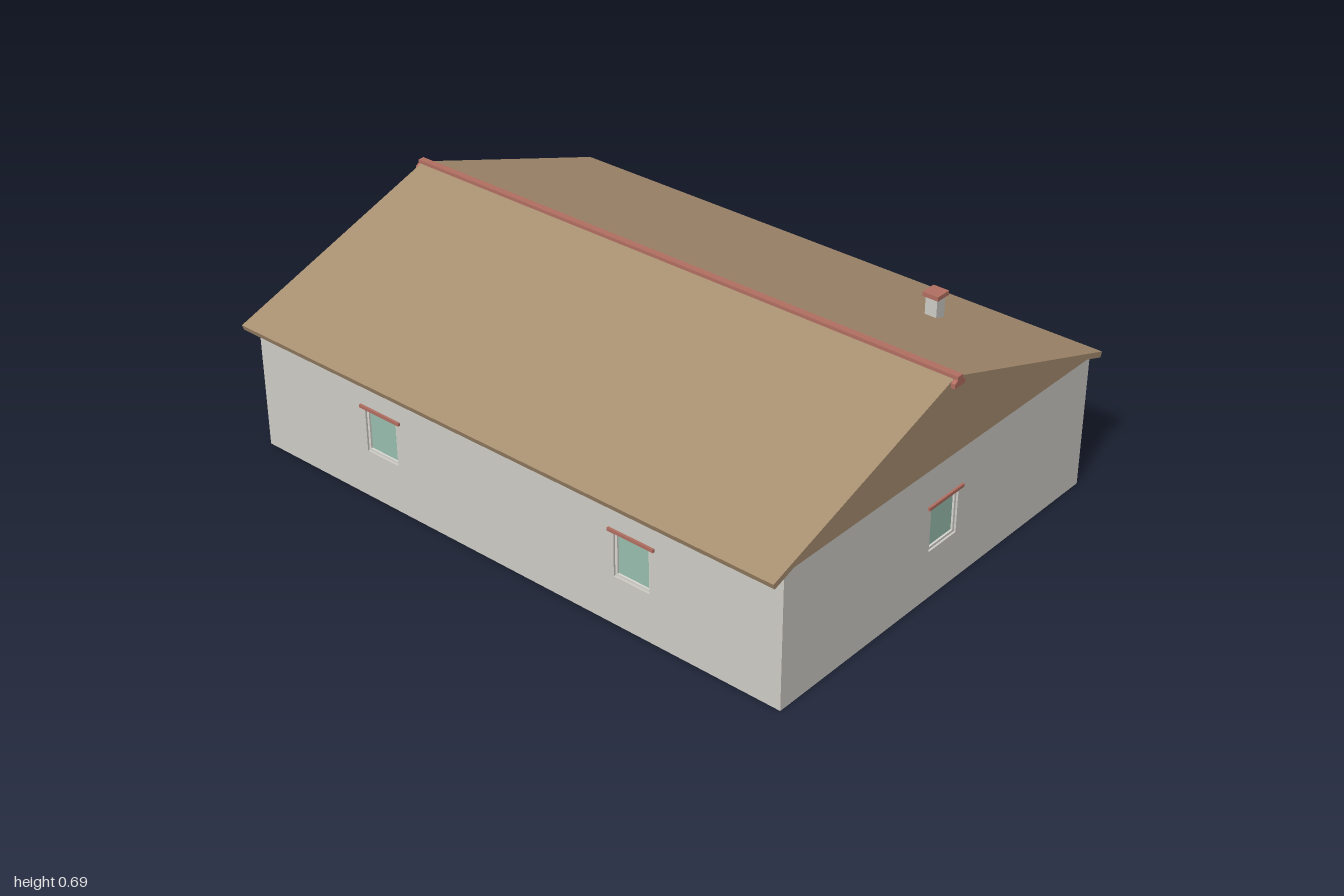
import * as THREE from 'three';

const material = (name, color) => {
  const m = new THREE.MeshStandardMaterial({ color });
  m.name = name;
  return m;
};

export function createModel() {
  const house = new THREE.Group();
  house.name = 'house';
  const plaster = material('grey plaster', 0xd0cdc6);
  const timber = material('tan timber', 0xa88f71);
  const red = material('red clay', 0xb36f62);
  const glass = material('green glass', 0x98bfae);
  const trim = material('light trim', 0xd9d7d1);

  const add = (parent, name, geometry, mat) => {
    const mesh = new THREE.Mesh(geometry, mat);
    mesh.name = name;
    parent.add(mesh);
    return mesh;
  };
  // Box given by its limits on each axis
  const box = (parent, name, mat, [x0, x1], [y0, y1], [z0, z1]) => {
    const g = new THREE.BoxGeometry(x1 - x0, y1 - y0, z1 - z0);
    g.translate((x0 + x1) / 2, (y0 + y1) / 2, (z0 + z1) / 2);
    return add(parent, name, g, mat);
  };
  // Cross-section of [z, y] points swept along x
  const sweepX = (name, mat, points, x0, x1) => {
    const shape = new THREE.Shape(points.map(([z, y]) => new THREE.Vector2(-z, y)));
    const g = new THREE.ExtrudeGeometry(shape, { depth: x1 - x0, bevelEnabled: false });
    g.rotateY(Math.PI / 2).translate(x0, 0, 0);
    return add(house, name, g, mat);
  };

  const X0 = -0.98, X1 = 0.975, Z0 = -0.685, Z1 = 0.71;
  const CX = (X0 + X1) / 2, CZ = (Z0 + Z1) / 2;
  const TOP = 0.425, T = 0.03, RIDGE = 0.015;

  const rectHole = (x0, x1, y0, y1) => new THREE.Path([
    [x0, y0], [x0, y1], [x1, y1], [x1, y0],
  ].map(p => new THREE.Vector2(...p)));

  // Recessed window with frame and a red lintel; outside is local +z
  const addWindow = (wall, u) => {
    const w = new THREE.Group();
    w.name = 'window';
    w.position.x = u;
    wall.add(w);
    box(w, 'pane', glass, [-0.055, 0.055], [0.165, 0.29], [-0.016, -0.012]);
    for (const s of [-1, 1]) {
      const a = s * 0.055, b = s * 0.063;
      box(w, 'frameSide', trim, [Math.min(a, b), Math.max(a, b)], [0.157, 0.298], [-0.02, -0.006]);
    }
    box(w, 'frameTop', trim, [-0.055, 0.055], [0.29, 0.298], [-0.02, -0.006]);
    box(w, 'frameBottom', trim, [-0.055, 0.055], [0.157, 0.165], [-0.02, -0.006]);
    box(w, 'lintel', red, [-0.08, 0.08], [0.299, 0.309], [-0.01, 0.007]);
  };

  // Outer wall with window holes and an optional doorway
  const addWall = (name, width, pos, turn, windows, door) => {
    const wall = new THREE.Group();
    wall.name = name;
    wall.position.set(pos[0], 0, pos[1]);
    wall.rotation.y = turn;
    house.add(wall);
    const h = width / 2;
    const outline = [[-h, 0]];
    if (door) outline.push([-0.095, 0], [-0.095, 0.31], [0.095, 0.31], [0.095, 0]);
    outline.push([h, 0], [h, TOP], [-h, TOP]);
    const shape = new THREE.Shape(outline.map(p => new THREE.Vector2(...p)));
    windows.forEach(u => shape.holes.push(rectHole(u - 0.063, u + 0.063, 0.157, 0.298)));
    const g = new THREE.ExtrudeGeometry(shape, { depth: T, bevelEnabled: false });
    add(wall, 'wallPanel', g.translate(0, 0, -T), plaster);
    windows.forEach(u => addWindow(wall, u));
    return wall;
  };

  addWall('frontWall', X1 - X0, [CX, Z1], 0, [-0.474, 0.474]);
  const back = addWall('backWall', X1 - X0, [CX, Z0], Math.PI, [-0.474, 0.474], true);
  addWall('leftWall', Z1 - Z0 - 2 * T, [X1, CZ], Math.PI / 2, [0]);
  addWall('rightWall', Z1 - Z0 - 2 * T, [X0, CZ], -Math.PI / 2, [0]);

  // Door frame and a leaf standing ajar
  for (const [a, b] of [[-0.095, -0.08], [0.08, 0.095]])
    box(back, 'doorJamb', timber, [a, b], [0, 0.31], [-T, 0.003]);
  box(back, 'doorHead', timber, [-0.08, 0.08], [0.295, 0.31], [-T, 0.003]);
  const leaf = new THREE.Group();
  leaf.name = 'doorLeaf';
  leaf.position.set(0.08, 0, -0.02);
  leaf.rotation.y = -0.35;
  leaf.rotation.y *= -1;
  back.add(leaf);
  box(leaf, 'doorPanel', timber, [-0.155, 0], [0.015, 0.293], [-0.01, 0]);

  // Floor and inner partitions with doorway gaps
  box(house, 'floor', timber, [X0 + T, X1 - T], [0.002, 0.012], [Z0 + T, Z1 - T]);
  const partitions = [
    [0.71, X1 - T, -0.235, -0.22], [0.135, 0.555, -0.235, -0.22],
    [-0.57, -0.1, -0.225, -0.21], [-0.96, -0.8, -0.225, -0.21],
    [0.32, 0.335, Z0 + T, -0.55], [0.32, 0.335, -0.42, -0.05],
    [0.295, 0.31, 0.24, Z1 - T],
    [-0.255, -0.24, -0.33, -0.1], [-0.295, -0.28, 0.17, Z1 - T],
  ];
  for (const [x0, x1, z0, z1] of partitions)
    box(house, 'partition', plaster, [x0, x1], [0, TOP - 0.002], [z0, z1]);

  // Gable block under the roof
  sweepX('gable', timber, [[Z1, TOP], [RIDGE, 0.665], [Z0, TOP]], X0, X1);

  // Two roof slopes with square-cut eaves
  for (const s of [1, -1]) {
    const at = (d, y) => [RIDGE + s * d, y];
    const profile = [at(0, 0.683), at(0.75, 0.428), at(0.744, 0.411), at(0, 0.664)];
    sweepX(s > 0 ? 'frontRoof' : 'backRoof', timber, s > 0 ? profile : profile.reverse(), -0.99, 0.985);
  }

  // Ridge cap
  sweepX('ridgeCap', red, [
    [-0.023, 0.658], [-0.023, 0.672], [-0.011, 0.679], [-0.011, 0.69],
    [0.011, 0.69], [0.011, 0.679], [0.023, 0.672], [0.023, 0.658],
  ].map(([z, y]) => [z + RIDGE, y]), -1, 0.998);

  // Chimney
  box(house, 'chimneyStack', plaster, [0.577, 0.617], [0.48, 0.592], [-0.47, -0.43]);
  box(house, 'chimneyCap', red, [0.57, 0.624], [0.59, 0.604], [-0.477, -0.423]);

  // Porch: step, posts and beam
  box(house, 'porchStep', plaster, [-0.165, 0.165], [0, 0.014], [-0.738, Z0]);
  for (const x of [-0.22, 0.215])
    box(house, 'porchPost', timber, [x - 0.0125, x + 0.0125], [0, 0.352], [-0.76, -0.735]);
  box(house, 'porchBeam', timber, [-0.24, 0.235], [0.35, 0.37], [-0.763, -0.737]);

  return house;
}
